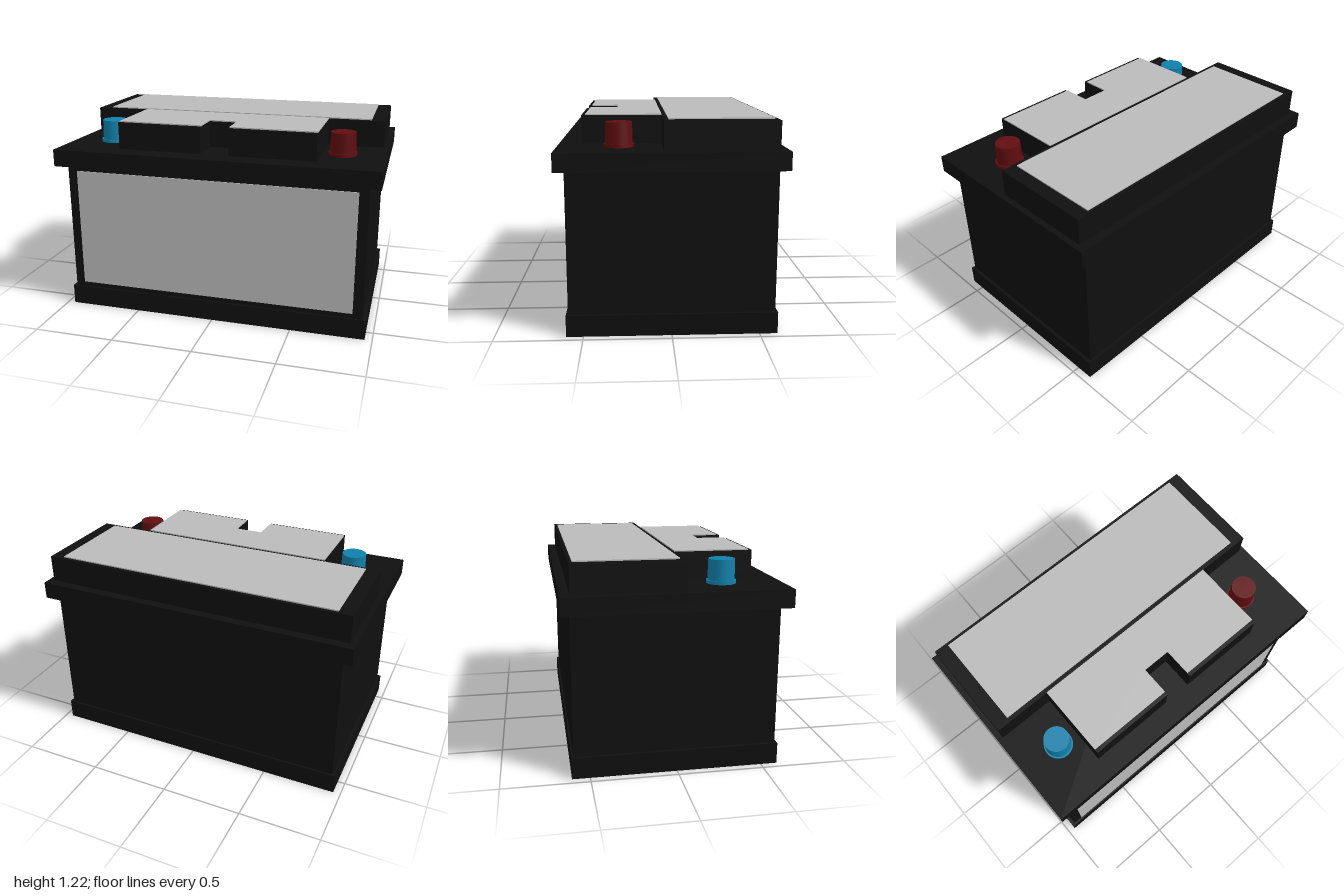
import * as THREE from 'three';

export function createModel() {
  const model = new THREE.Group();
  model.name = 'carBattery';

  const material = (name, color) => {
    const m = new THREE.MeshStandardMaterial({ color });
    m.name = name;
    return m;
  };
  const black = material('blackCasing', 0x0f0f0f);
  const grey = material('greyLabel', 0xbababa);
  const red = material('redTerminal', 0x600d0f);
  const blue = material('blueTerminal', 0x1180ab);

  const add = (name, geometry, mat, parent = model) => {
    const mesh = new THREE.Mesh(geometry, mat);
    mesh.name = name;
    parent.add(mesh);
    return mesh;
  };

  // Box centred on x, given its half width and its y and z ranges
  const box = (name, halfWidth, y0, y1, z0, z1, mat) => {
    add(name, new THREE.BoxGeometry(halfWidth * 2, y1 - y0, z1 - z0), mat)
      .position.set(0, (y0 + y1) / 2, (z0 + z1) / 2);
  };

  // Plate with a hand notch in its front edge, extruded upward
  const notchedPlate = (name, y0, y1, zBack, zFront, mat) => {
    const outline = [
      [-0.615, zBack], [0.615, zBack], [0.615, zFront], [0.088, zFront],
      [0.088, 0.31], [-0.088, 0.31], [-0.088, zFront], [-0.615, zFront],
    ];
    const shape = new THREE.Shape(outline.map(([x, z]) => new THREE.Vector2(x, -z)));
    const geometry = new THREE.ExtrudeGeometry(shape, { depth: y1 - y0, bevelEnabled: false });
    geometry.rotateX(-Math.PI / 2);
    add(name, geometry, mat).position.y = y0;
  };

  // Casing
  box('baseFlange', 0.955, 0, 0.125, -0.603, 0.597, black);
  box('body', 0.935, 0.125, 0.945, -0.59, 0.585, black);
  box('rim', 1, 0.945, 1.05, -0.64, 0.64, black);

  // Stepped lid
  box('rearLid', 0.965, 1.05, 1.214, -0.585, 0.045, black);
  notchedPlate('frontLid', 1.05, 1.214, 0.045, 0.508, black);

  // Labels
  box('frontLabel', 0.875, 0.157, 0.91, 0.585, 0.591, grey);
  box('rearLidLabel', 0.88, 1.214, 1.221, -0.565, 0.018, grey);
  notchedPlate('frontLidLabel', 1.214, 1.221, 0.045, 0.485, grey);

  // Terminals: tapered post on a thin collar
  for (const [name, x, mat] of [['leftTerminal', 0.74, red], ['rightTerminal', -0.74, blue]]) {
    const terminal = new THREE.Group();
    terminal.name = name;
    terminal.position.set(x, 1.05, 0.29);
    add('collar', new THREE.CylinderGeometry(0.086, 0.086, 0.018, 40), mat, terminal).position.y = 0.009;
    add('post', new THREE.CylinderGeometry(0.075, 0.078, 0.122, 40), mat, terminal).position.y = 0.079;
    model.add(terminal);
  }

  return model;
}
